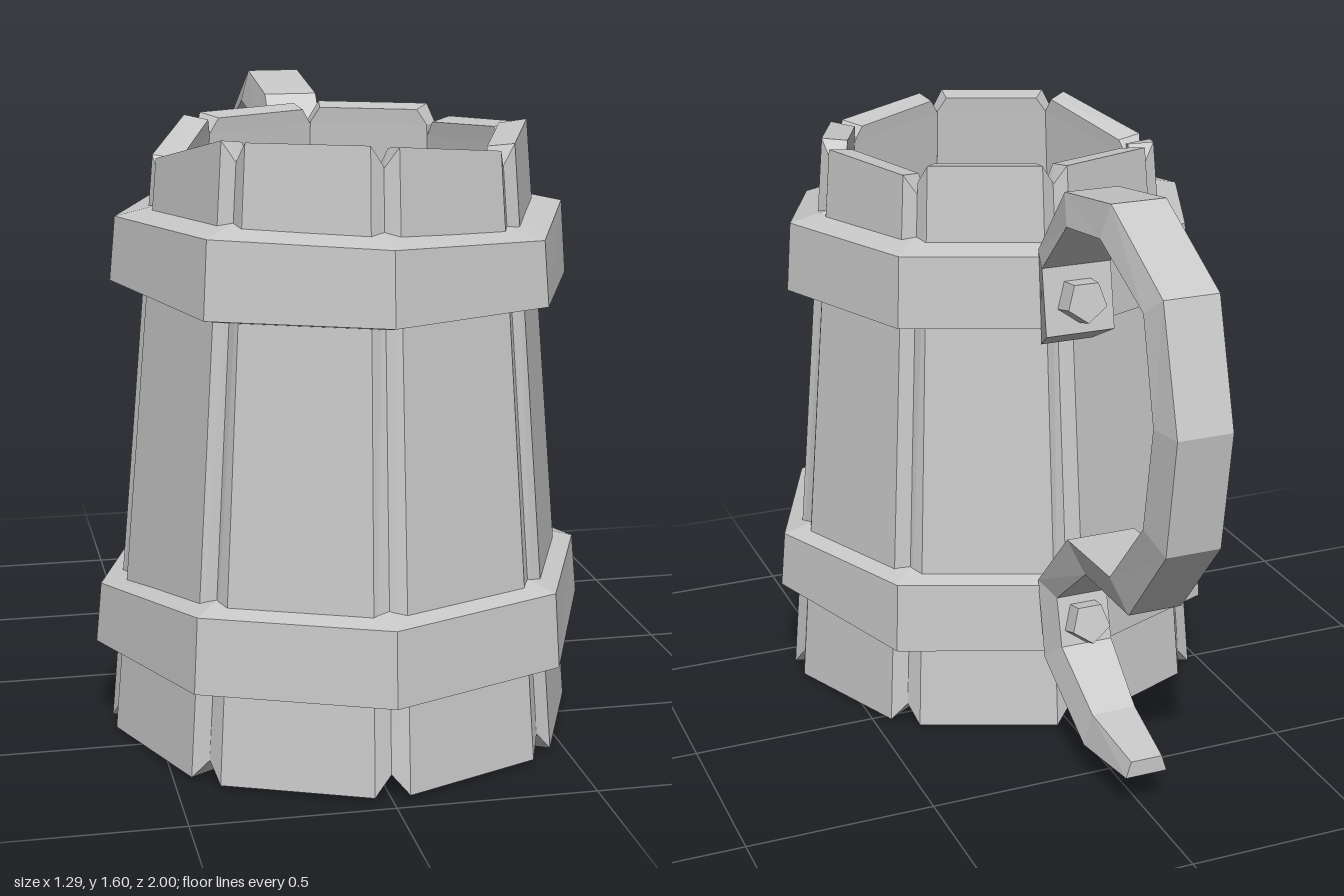
import * as THREE from 'three';

const wood = new THREE.MeshStandardMaterial({ color: 0xc8c8c8, flatShading: true });
wood.name = 'plainGrey';

const CENTRE_Z = 0.355; // axis of the mug body
const staveRadius = (y) => 0.622 - 0.09 * y;

// Point at corner k (0 = front, 2 = left, 4 = back, 6 = right) of an octagon
const corner = (k, r, y) =>
  new THREE.Vector3(r * Math.sin((k * Math.PI) / 4), y, CENTRE_Z + r * Math.cos((k * Math.PI) / 4));

// Solid skin over a row of equal rings; the ends are capped, or the row closes on itself
function loft(name, rings, closed = false) {
  const tris = [];
  const n = rings[0].length;
  const spans = closed ? rings.length : rings.length - 1;
  for (let i = 0; i < spans; i++) {
    const a = rings[i], b = rings[(i + 1) % rings.length];
    for (let j = 0; j < n; j++) {
      const m = (j + 1) % n;
      tris.push([a[j], a[m], b[m]], [a[j], b[m], b[j]]);
    }
  }
  if (!closed) {
    const first = rings[0], last = rings[rings.length - 1];
    const cap = (p, q, r) => tris.push([first[p], first[r], first[q]], [last[p], last[q], last[r]]);
    for (let lo = 0, hi = n - 1; hi - lo > 1; lo++, hi--) {
      cap(lo, lo + 1, hi);
      if (hi - lo > 2) cap(lo + 1, hi - 1, hi);
    }
  }
  // Turn the skin outward if its volume comes out negative
  const volume = tris.reduce((s, [a, b, c]) => s + a.dot(b.clone().cross(c)), 0);
  const points = tris.flatMap(([a, b, c]) => (volume < 0 ? [a, c, b] : [a, b, c]));
  const geometry = new THREE.BufferGeometry().setFromPoints(points);
  geometry.computeVertexNormals();
  const mesh = new THREE.Mesh(geometry, wood);
  mesh.name = name;
  return mesh;
}

// One tapered stave between corners k and k + 1: bevelled outer edges, cut corners, flush inside
function stave(k, topA, topB) {
  // The end ring is trimmed at the inner corners; `cut` is the height step to the groove
  const ring = (yA, yB, cut, inner, trim) => {
    const at = (t, depth, y) => {
      const r = staveRadius(y) - depth;
      return corner(k, r, y).lerp(corner(k + 1, r, y), t);
    };
    const grooveA = yA + cut, grooveB = yB + cut;
    // Ends are square to the leaning stave, so the inside sits a touch lower
    const inA = trim ? yA - 0.01 : grooveA, inB = trim ? yB - 0.01 : grooveB;
    return [
      at(0, 0.03, grooveA), at(0.1, 0, yA), at(0.9, 0, yB),
      at(1, 0.03, grooveB), at(1 - trim, inner, inB), at(trim, inner, inA),
    ];
  };
  return loft('stave', [
    ring(0.01, 0.01, 0.05, 0.11, 0.1),
    ring(0.01, 0.01, 0.05, 0.11, 0),
    ring(topA, topB, -0.05, 0.075, 0),
    ring(topA, topB, -0.05, 0.075, 0.08),
  ]);
}

// Slightly uneven octagonal band; bottoms and tops are listed per corner
function hoop(name, radius, bottoms, tops) {
  const rings = tops.map((top, k) => {
    const bottom = bottoms[k];
    return [
      corner(k, staveRadius(bottom) - 0.06, bottom - 0.03),
      corner(k, radius, bottom),
      corner(k, radius - 0.015, top),
      corner(k, staveRadius(top) - 0.06, top + 0.03),
    ];
  });
  return loft(name, rings, true);
}

function handle() {
  // [z, y] on the narrow outer side of the strap, [z, y] on the inner side, width factor
  const path = [
    [-0.195, 1.11, -0.285, 1.16, 1],
    [-0.175, 1.36, -0.255, 1.335, 1],
    [-0.345, 1.555, -0.41, 1.485, 1],
    [-0.62, 1.595, -0.61, 1.51, 1],
    [-0.91, 1.445, -0.855, 1.4, 1],
    [-1.0, 1.135, -0.92, 1.14, 1],
    [-0.955, 0.825, -0.875, 0.87, 1],
    [-0.755, 0.585, -0.69, 0.665, 1],
    [-0.49, 0.58, -0.425, 0.655, 1],
    [-0.305, 0.43, -0.23, 0.455, 1],
    [-0.34, 0.3, -0.275, 0.245, 1],
    [-0.52, 0.185, -0.51, 0.095, 0.85],
    [-0.725, 0.15, -0.725, 0.105, 0.6],
  ];
  const rings = path.map(([z1, y1, z2, y2, w]) => [
    new THREE.Vector3(-0.072 * w, y1, z1), new THREE.Vector3(0.072 * w, y1, z1),
    new THREE.Vector3(0.095 * w, y2, z2), new THREE.Vector3(-0.095 * w, y2, z2),
  ]);
  return loft('handle', rings);
}

// Five-sided rivet standing out of the strap, one corner down
function rivet(name, y, z, tilt) {
  const mesh = new THREE.Mesh(new THREE.CylinderGeometry(0.056, 0.064, 0.08, 5, 1, false, Math.PI), wood);
  mesh.name = name;
  mesh.position.set(0, y, z);
  mesh.rotation.x = tilt;
  return mesh;
}

export function createModel() {
  const model = new THREE.Group();
  model.name = 'tankard';

  // Staves, each with its own top line
  const staves = new THREE.Group();
  staves.name = 'staves';
  const tops = [
    [1.555, 1.525], [1.535, 1.56], [1.545, 1.53], [1.56, 1.56],
    [1.555, 1.55], [1.55, 1.485], [1.485, 1.56], [1.56, 1.56],
  ];
  tops.forEach(([a, b], k) => staves.add(stave(k, a, b)));
  model.add(staves);

  // Floor disc set a little above the stave ends
  const floor = new THREE.Mesh(new THREE.CylinderGeometry(0.54, 0.54, 0.04, 8), wood);
  floor.name = 'floor';
  floor.position.set(0, 0.11, CENTRE_Z);
  model.add(floor);

  // Bands
  model.add(hoop('upperHoop', 0.59,
    [1.155, 1.155, 1.158, 1.155, 1.155, 1.155, 1.18, 1.155],
    [1.335, 1.315, 1.345, 1.345, 1.345, 1.345, 1.34, 1.345]));
  model.add(hoop('lowerHoop', 0.645,
    [0.25, 0.25, 0.285, 0.25, 0.25, 0.25, 0.235, 0.25],
    [0.44, 0.44, 0.44, 0.44, 0.44, 0.44, 0.39, 0.44]));

  // Handle and its rivets
  model.add(handle());
  model.add(rivet('upperRivet', 1.25, -0.288, -1.4));
  model.add(rivet('lowerRivet', 0.362, -0.332, -1.31));

  return model;
}
